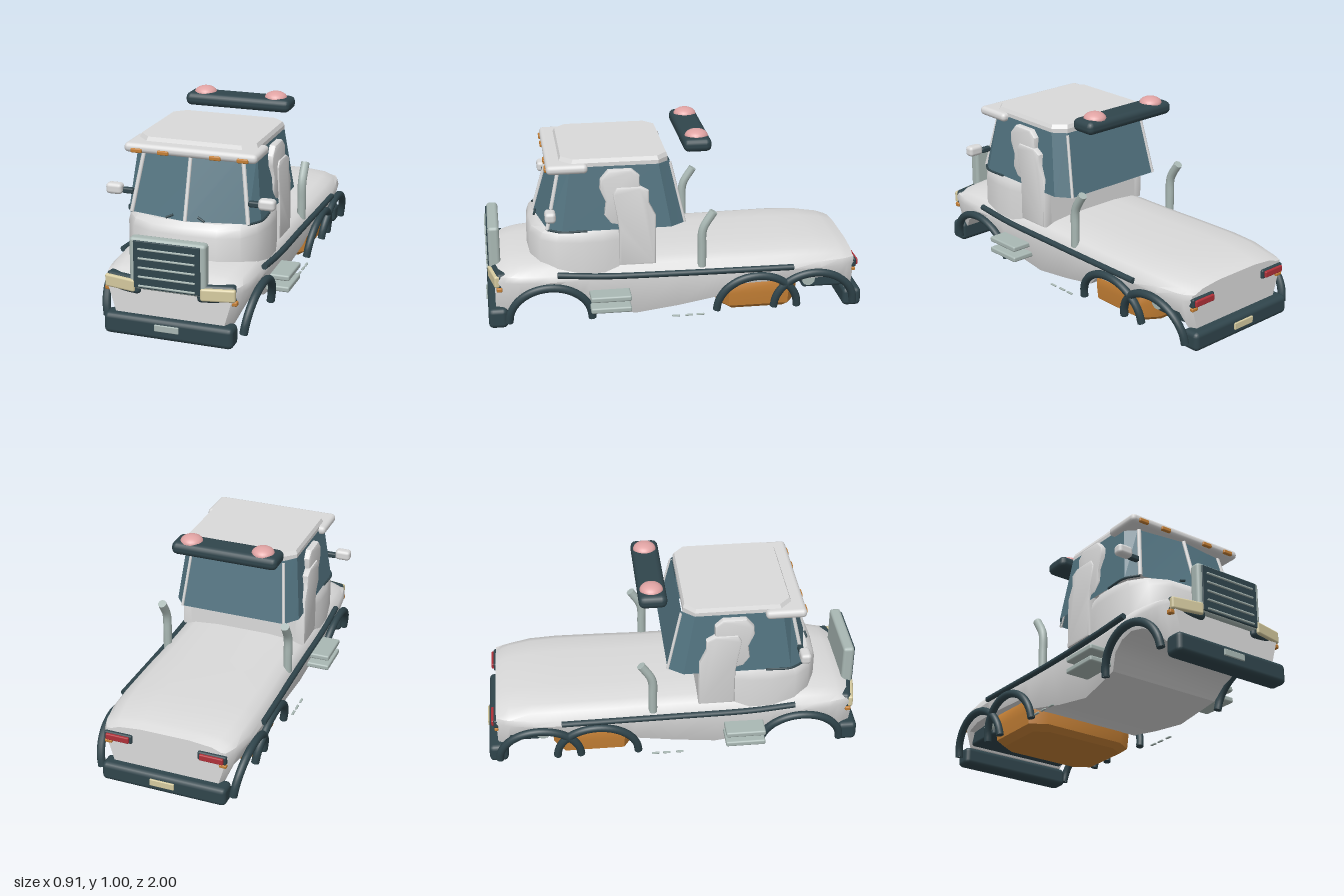
import * as THREE from 'three';
import { toCreasedNormals } from 'three/addons/utils/BufferGeometryUtils.js';
import { RoundedBoxGeometry } from 'three/addons/geometries/RoundedBoxGeometry.js';

const material = (name, color, side = THREE.FrontSide) => {
  const m = new THREE.MeshStandardMaterial({ color, side });
  m.name = name;
  return m;
};

// Skin between rings of points, closed at both ends when capped; faces are turned outwards.
function loft(rings, capped = true, crease = 0.6) {
  const tris = [], n = rings[0].length;
  for (let r = 0; r < rings.length - 1; r++) {
    for (let i = 0; i < n; i++) {
      const j = (i + 1) % n, a = rings[r], b = rings[r + 1];
      tris.push([a[i], a[j], b[j]], [a[i], b[j], b[i]]);
    }
  }
  if (capped) {
    const cap = (ring, flip) => {
      const c = ring.reduce((s, p) => s.add(p), new THREE.Vector3()).divideScalar(n);
      ring.forEach((p, i) => tris.push(flip ? [c, ring[(i + 1) % n], p] : [c, p, ring[(i + 1) % n]]));
    };
    cap(rings[0], true);
    cap(rings[rings.length - 1], false);
  }
  const mid = rings.flat().reduce((s, p) => s.add(p), new THREE.Vector3()).divideScalar(n * rings.length);
  let volume = 0;
  for (const [a, b, c] of tris) {
    volume += a.clone().sub(mid).dot(b.clone().sub(mid).cross(c.clone().sub(mid)));
  }
  const ordered = volume < 0 ? tris.map(([a, b, c]) => [a, c, b]) : tris;
  const g = new THREE.BufferGeometry().setFromPoints(ordered.flat());
  return toCreasedNormals(g, crease);
}

// Ring from half a plan [x, z], front centre to rear, mirrored across x.
const planRing = (half, y) => {
  const other = half.filter(([x]) => x > 0).reverse().map(([x, z]) => [-x, z]);
  return [...half, ...other].map(([x, z]) => new THREE.Vector3(x, y, z));
};

export function createModel() {
  const model = new THREE.Group();
  model.name = 'truck';
  const white = material('white paint', 0xdadada);
  const dark = material('dark trim', 0x30454c);
  const glass = material('window glass', 0x527380, THREE.DoubleSide);
  const grey = material('grey metal', 0xa9b8b4);
  const orange = material('orange', 0xc58035);
  const beige = material('lamp cream', 0xd6cba0);
  const red = material('tail red', 0xb03038);
  const pink = material('beacon pink', 0xe0a3a3);

  const add = (name, geometry, mat, x = 0, y = 0, z = 0) => {
    const mesh = new THREE.Mesh(geometry, mat);
    mesh.name = name;
    mesh.position.set(x, y, z);
    model.add(mesh);
    return mesh;
  };
  const box = (name, mat, w, h, d, x, y, z, r = Math.min(w, h, d) * 0.3) =>
    add(name, new RoundedBoxGeometry(w, h, d, 2, r), mat, x, y, z);
  const tube = (name, mat, points, radius, segments = 20) => {
    const path = new THREE.CatmullRomCurve3(points.map(p => new THREE.Vector3(...p)));
    add(name, new THREE.TubeGeometry(path, segments, radius, 10), mat);
    for (const t of [0, 1]) {
      const end = add(name + 'End', new THREE.CircleGeometry(radius, 10), mat);
      end.position.copy(path.getPoint(t));
      const way = path.getTangent(t).multiplyScalar(t ? 1 : -1);
      end.quaternion.setFromUnitVectors(new THREE.Vector3(0, 0, 1), way);
    }
  };

  // Body: sections along z as [z, floor, top, half width]
  const sections = [
    [0.95, 0.09, 0.31, 0.325], [0.9, 0.09, 0.335, 0.348], [0.87, 0.1, 0.342, 0.356],
    [0.82, 0.16, 0.35, 0.366], [0.75, 0.2, 0.355, 0.372], [0.67, 0.215, 0.36, 0.375],
    [0.59, 0.2, 0.36, 0.375], [0.52, 0.16, 0.36, 0.375], [0.47, 0.085, 0.36, 0.374],
    [0.22, 0.035, 0.36, 0.37], [0, 0.068, 0.36, 0.37], [-0.22, 0.115, 0.36, 0.374],
    [-0.3, 0.19, 0.36, 0.378], [-0.6, 0.2, 0.362, 0.382], [-0.75, 0.2, 0.358, 0.376],
    [-0.87, 0.19, 0.345, 0.355], [-0.9, 0.11, 0.338, 0.345], [-0.94, 0.11, 0.325, 0.325]];
  add('body', loft(sections.map(([z, floor, top, w]) => {
    const half = [[w - (0.27 - floor) * 0.28, floor], [w, 0.265], [w * 0.975, 0.295],
      [w * 0.9, top - 0.03], [w * 0.76, top - 0.012], [w * 0.4, top]];
    const ring = [...half, ...half.slice().reverse().map(([x, y]) => [-x, y])];
    return ring.map(([x, y]) => new THREE.Vector3(x, y, z));
  })), white);

  // Cab base and rear cab block
  const cabPlan = [[0, 0.77], [0.17, 0.76], [0.28, 0.71], [0.34, 0.63], [0.362, 0.5], [0.36, 0.39], [0.34, 0.31]];
  const inset = (plan, s, dz) => plan.map(([x, z]) => [x * s, z > 0.5 ? z - dz : z]);
  add('cabBase', loft([planRing(cabPlan, 0.3), planRing(cabPlan, 0.47),
    planRing(inset(cabPlan, 0.985, 0.012), 0.505), planRing(inset(cabPlan, 0.95, 0.04), 0.53)]), white);
  box('cabBack', white, 0.67, 0.23, 0.24, 0, 0.415, 0.24, 0.03);

  // Window band and roof
  const low = [[0, 0.73], [0.305, 0.67], [0.348, 0.6], [0.348, 0.04], [0.29, -0.037]];
  const high = [[0, 0.632], [0.255, 0.6], [0.31, 0.55], [0.31, 0.1], [0.255, 0.037]];
  add('windows', loft([planRing(low, 0.53), planRing(high, 0.86)], false, 0.2), glass);
  const roofPlan = [[0.25, 0.6], [0.31, 0.54], [0.31, 0.1], [0.25, 0.045]];
  add('roof', loft([planRing(roofPlan, 0.85), planRing(roofPlan, 0.88),
    planRing(roofPlan.map(([x, z]) => [x * 0.97, 0.32 + (z - 0.32) * 0.97]), 0.9)], true, 0.3), white);
  box('visor', white, 0.69, 0.048, 0.21, 0, 0.856, 0.565, 0.022);
  tube('windscreenBar', white, [[0, 0.53, 0.732], [0, 0.84, 0.642]], 0.01, 1);
  for (const x of [-0.275, -0.135, 0.135, 0.275]) {
    box('roofMarker', orange, 0.058, 0.022, 0.02, x, 0.847, 0.668);
  }

  // Light bar
  box('lightBar', dark, 0.58, 0.07, 0.145, 0, 0.935, -0.107, 0.03);

  // Grille
  box('grilleFrame', grey, 0.39, 0.265, 0.06, 0, 0.38, 0.945, 0.018);
  box('grillePanel', dark, 0.34, 0.24, 0.012, 0, 0.38, 0.975);
  for (let i = 0; i < 5; i++) {
    box('grilleSlat', grey, 0.29, 0.009, 0.01, 0, 0.273 + i * 0.047, 0.984);
  }

  // Bumpers and plates
  box('frontBumper', dark, 0.665, 0.108, 0.1, 0, 0.056, 0.94, 0.025);
  box('rearBumper', dark, 0.665, 0.1, 0.1, 0, 0.06, -0.94, 0.025);
  box('frontPlate', grey, 0.125, 0.034, 0.012, 0, 0.068, 0.991);
  box('rearPlate', beige, 0.13, 0.036, 0.012, 0, 0.066, -0.993);

  // Tank, rear underframe and axle
  const tankPlan = [[0.24, -0.215], [0.33, -0.27], [0.33, -0.59], [0.24, -0.65]];
  const tank = [[0.02, 0.86], [0.05, 0.98], [0.12, 1], [0.18, 1], [0.22, 0.93]];
  add('tank', loft(tank.map(([y, s]) =>
    planRing(tankPlan.map(([x, z]) => [x * s, -0.432 + (z + 0.432) * s]), y))), orange);
  box('underframe', dark, 0.6, 0.09, 0.24, 0, 0.165, -0.79, 0.015);
  const axle = add('axle', new THREE.CylinderGeometry(0.035, 0.035, 0.64, 14), grey, 0, 0.175, -0.7);
  axle.rotation.z = Math.PI / 2;

  // Door pillar outlines in [z, y]
  const post = [[0.12, 0.33], [0.12, 0.6], [0.155, 0.67], [0.155, 0.73], [0.2, 0.755],
    [0.32, 0.755], [0.34, 0.72], [0.32, 0.6], [0.31, 0.53], [0.31, 0.33]];
  const lobe = [[0.2, 0.7], [0.2, 0.81], [0.24, 0.845], [0.36, 0.845], [0.4, 0.8],
    [0.405, 0.75], [0.375, 0.68], [0.385, 0.61], [0.35, 0.56], [0.28, 0.54]];
  const plate = points => {
    const shape = new THREE.Shape(points.map(([z, y]) => new THREE.Vector2(-z, y)));
    const g = new THREE.ExtrudeGeometry(shape,
      { depth: 0.04, bevelThickness: 0.012, bevelSize: 0.012, bevelOffset: -0.012, bevelSegments: 2 });
    return toCreasedNormals(g.rotateY(Math.PI / 2), 0.7);
  };

  for (const s of [1, -1]) {
    add('pillarPost', plate(post), white, s * 0.325 - 0.02);
    add('pillarLobe', plate(lobe), white, s * 0.315 - 0.02);
    tube('frontPillar', white, [[s * 0.305, 0.53, 0.672], [s * 0.257, 0.84, 0.604]], 0.011, 1);
    tube('rearPillar', white, [[s * 0.29, 0.53, -0.037], [s * 0.257, 0.85, 0.035]], 0.008, 1);
    tube('windowSill', dark, [[s * 0.306, 0.53, 0.672], [s * 0.349, 0.53, 0.6], [s * 0.35, 0.53, 0.47]], 0.006);
    tube('wiper', dark, [[s * 0.065, 0.555, 0.722], [s * 0.1, 0.54, 0.73]], 0.006, 1);

    // Wheel arches lean inwards towards the ground
    for (const z of [0.67, -0.415, -0.72]) {
      const arc = Array.from({ length: 13 }, (_, i) => {
        const a = Math.PI * i / 12, up = Math.sin(a);
        return [s * (0.355 + 0.03 * up), 0.05 + 0.19 * up, z + 0.215 * Math.cos(a)];
      });
      tube('wheelArch', dark, arc, 0.021, 32);
    }
    tube('sideRail', dark, [[s * 0.376, 0.305, 0.63], [s * 0.38, 0.288, 0.4],
      [s * 0.378, 0.28, 0], [s * 0.385, 0.28, -0.6]], 0.016);
    tube('exhaust', grey, [[s * 0.345, 0.3, -0.12], [s * 0.345, 0.4, -0.12], [s * 0.345, 0.48, -0.12],
      [s * 0.345, 0.52, -0.13], [s * 0.345, 0.6, -0.18]], 0.023);

    // Mirrors
    box('mirror', white, 0.085, 0.056, 0.055, s * 0.398, 0.639, 0.66, 0.018);
    box('mirrorArm', dark, 0.06, 0.03, 0.03, s * 0.33, 0.63, 0.65);

    // Steps and underside tabs
    for (const y of [0.126, 0.187]) {
      box('step', grey, 0.15, 0.03, 0.21, s * 0.38, y, 0.363);
    }
    for (const z of [0.02, -0.05, -0.11]) {
      box('tab', grey, 0.012, 0.008, 0.04, s * 0.38, 0.04, z);
    }

    // Head lamps
    box('headlampHousing', dark, 0.19, 0.09, 0.06, s * 0.237, 0.263, 0.927, 0.02).rotation.y = s * 0.2;
    box('headlamp', beige, 0.17, 0.064, 0.035, s * 0.25, 0.265, 0.951).rotation.y = s * 0.2;
    box('frontIndicator', orange, 0.042, 0.024, 0.03, s * 0.32, 0.223, 0.927);

    // Tail lamps and beacons
    box('tailHousing', dark, 0.15, 0.048, 0.03, s * 0.25, 0.257, -0.94);
    box('tailLamp', red, 0.125, 0.034, 0.02, s * 0.25, 0.257, -0.957);
    box('rearIndicator', orange, 0.04, 0.018, 0.02, s * 0.305, 0.222, -0.942);
    const dome = new THREE.SphereGeometry(0.06, 24, 10, 0, Math.PI * 2, 0, Math.PI / 2);
    add('beacon', dome.scale(1, 0.6, 1), pink, s * 0.197, 0.964, -0.11);
  }
  return model;
}
